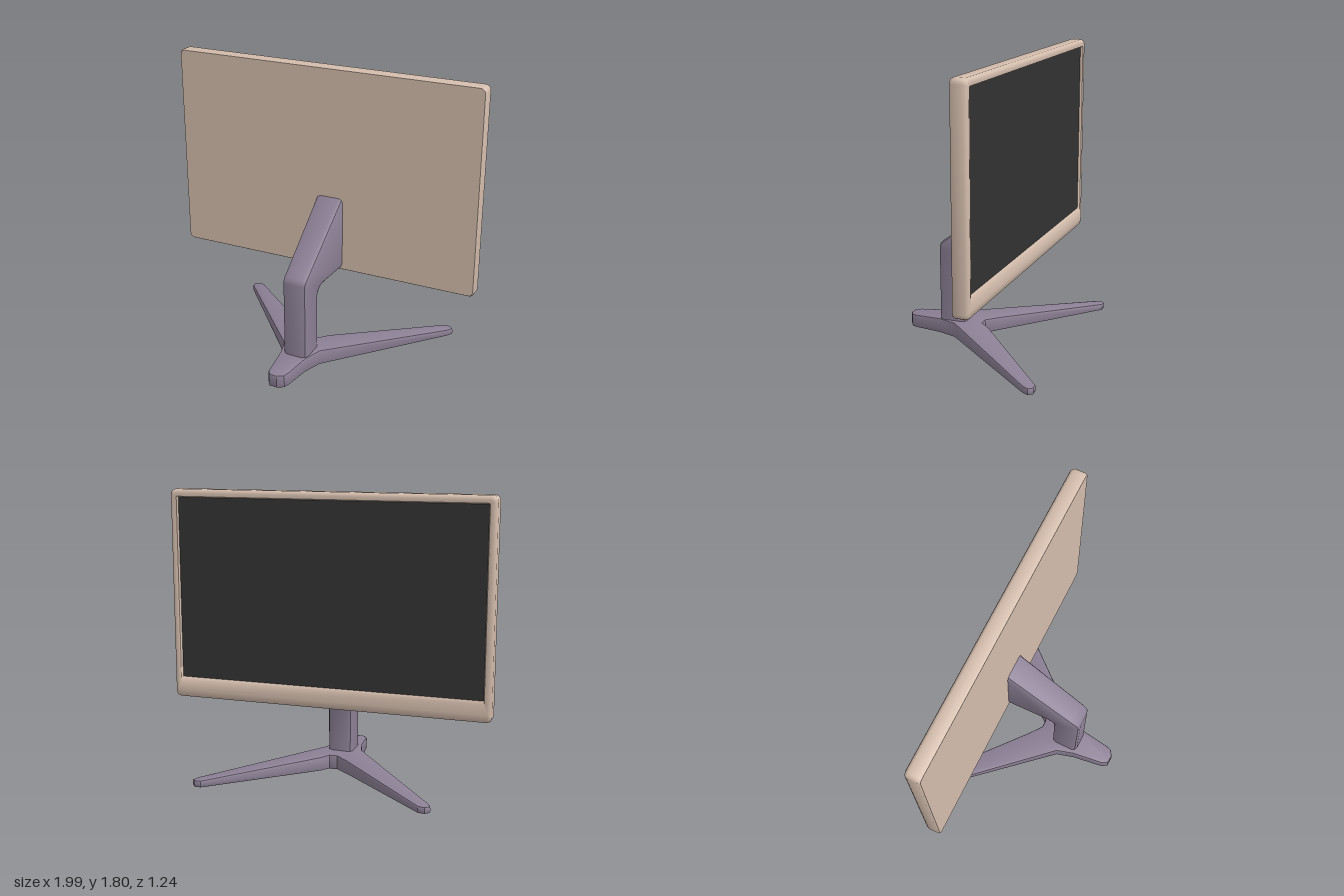
import * as THREE from 'three';
import { toCreasedNormals } from 'three/addons/utils/BufferGeometryUtils.js';

const shell = new THREE.MeshStandardMaterial({ color: 0xd4bdad });
shell.name = 'beige shell';
const metal = new THREE.MeshStandardMaterial({ color: 0x8c8095 });
metal.name = 'mauve stand';
const glass = new THREE.MeshStandardMaterial({ color: 0x323232 });
glass.name = 'dark screen';

// Rounded rectangle as a counter-clockwise list of points
function roundedRect(x0, x1, y0, y1, r, steps = 4) {
  const pts = [];
  const corners = [[x1 - r, y0 + r], [x1 - r, y1 - r], [x0 + r, y1 - r], [x0 + r, y0 + r]];
  corners.forEach(([cx, cy], k) => {
    for (let i = 0; i <= steps; i++) {
      const a = (k - 1 + i / steps) * Math.PI / 2;
      pts.push(new THREE.Vector2(cx + r * Math.cos(a), cy + r * Math.sin(a)));
    }
  });
  return pts;
}

// Skin over rings that run counter-clockwise when looking along the loft
function loft(rings, crease) {
  const n = rings[0].length, index = [];
  for (let j = 0; j < rings.length - 1; j++) {
    for (let i = 0; i < n; i++) {
      const a = j * n + i, b = j * n + (i + 1) % n;
      index.push(a, a + n, b, b, a + n, b + n);
    }
  }
  const g = new THREE.BufferGeometry();
  g.setAttribute('position', new THREE.Float32BufferAttribute(rings.flat().flatMap(p => [p.x, p.y, p.z]), 3));
  g.setIndex(index);
  return toCreasedNormals(g, crease);
}

function add(parent, name, geometry, material) {
  const mesh = new THREE.Mesh(geometry, material);
  mesh.name = name;
  parent.add(mesh);
  return mesh;
}

function createDisplay() {
  const display = new THREE.Group();
  display.name = 'display';
  const half = 1.012, bottom = 0.49, top = 1.803;

  // z, side and top inset, bottom inset, corner radius
  const profile = [
    [0.05, 0.006, 0.006, 0.03], [0.04, 0, 0, 0.032], [-0.028, 0, 0, 0.032],
    [-0.044, 0.008, 0.012, 0.028], [-0.05, 0.024, 0.05, 0.018],
    [-0.046, 0.044, 0.115, 0.006], [-0.03, 0.05, 0.13, 0.004],
  ];
  const outlines = profile.map(([, s, b, r]) => roundedRect(-half + s, half - s, bottom + b, top - s, r));
  const rings = outlines.map((o, j) => o.map(p => new THREE.Vector3(p.x, p.y, profile[j][0])));
  add(display, 'casing', loft(rings, 0.9), shell);

  const cover = new THREE.ShapeGeometry(new THREE.Shape(outlines[0]));
  add(display, 'rearCover', cover.translate(0, 0, 0.05), shell);

  const w = 2 * half - 0.1, h = top - bottom - 0.18;
  const screen = new THREE.PlaneGeometry(w, h).rotateY(Math.PI);
  add(display, 'screen', screen.translate(0, bottom + 0.13 + h / 2, -0.03), glass);
  return display;
}

function createNeck() {
  // Each section: front z, front y, back z, back y, width
  const sections = [
    [0.545, 0.08, 0.365, 0.08, 0.16], [0.545, 0.585, 0.365, 0.44, 0.16],
    [0.54, 0.603, 0.355, 0.47, 0.162], [0.525, 0.62, 0.33, 0.495, 0.164],
    [0.49, 0.646, 0.29, 0.505, 0.166], [0.045, 0.98, 0.045, 0.503, 0.182],
  ];
  const rings = sections.map(([fz, fy, bz, by, w]) => {
    const length = Math.hypot(fz - bz, fy - by);
    return roundedRect(-w / 2, w / 2, 0, length, 0.03, 2).map(p => {
      const t = p.y / length;
      return new THREE.Vector3(p.x, by + (fy - by) * t, bz + (fz - bz) * t);
    });
  });
  return loft(rings, 0.6);
}

function createBase() {
  // Three-legged outline in x and z
  const outline = [
    [-0.19, 0.56], [-0.175, 0.6], [-0.125, 0.615], [-0.08, 0.6], [-0.06, 0.565],
    [0.0, 0.4], [0.065, 0.29], [0.8, -0.25], [0.827, -0.285], [0.81, -0.318], [0.77, -0.325],
    [0.07, 0.07], [0.02, 0.115], [-0.03, 0.105], [-0.1, 0.02],
    [-0.565, -0.612], [-0.605, -0.625], [-0.638, -0.605], [-0.633, -0.57],
    [-0.18, 0.24], [-0.173, 0.36],
  ].map(p => new THREE.Vector2(...p));
  const bevel = 0.012;
  const g = new THREE.ExtrudeGeometry(new THREE.Shape(outline), {
    depth: 0.1 - 2 * bevel, bevelThickness: bevel, bevelSize: bevel, bevelOffset: -bevel, bevelSegments: 2,
  });
  g.rotateX(Math.PI / 2).translate(0, 0.1 - bevel, 0);

  // The top slopes down towards the tips
  const pos = g.attributes.position;
  for (let i = 0; i < pos.count; i++) {
    if (pos.getY(i) < 0.05) continue;
    const d = Math.hypot(pos.getX(i) + 0.05, pos.getZ(i) - 0.27);
    pos.setY(i, pos.getY(i) + 0.007 - 0.06 * d);
  }
  return toCreasedNormals(g, 0.6);
}

export function createModel() {
  const model = new THREE.Group();
  model.name = 'monitor';

  // Display and neck are turned together on the base
  const head = new THREE.Group();
  head.name = 'head';
  head.position.z = -0.16;
  head.rotation.y = -0.22;
  head.add(createDisplay());
  add(head, 'neck', createNeck(), metal).position.x = 0.045;
  model.add(head);

  add(model, 'base', createBase(), metal);
  return model;
}
